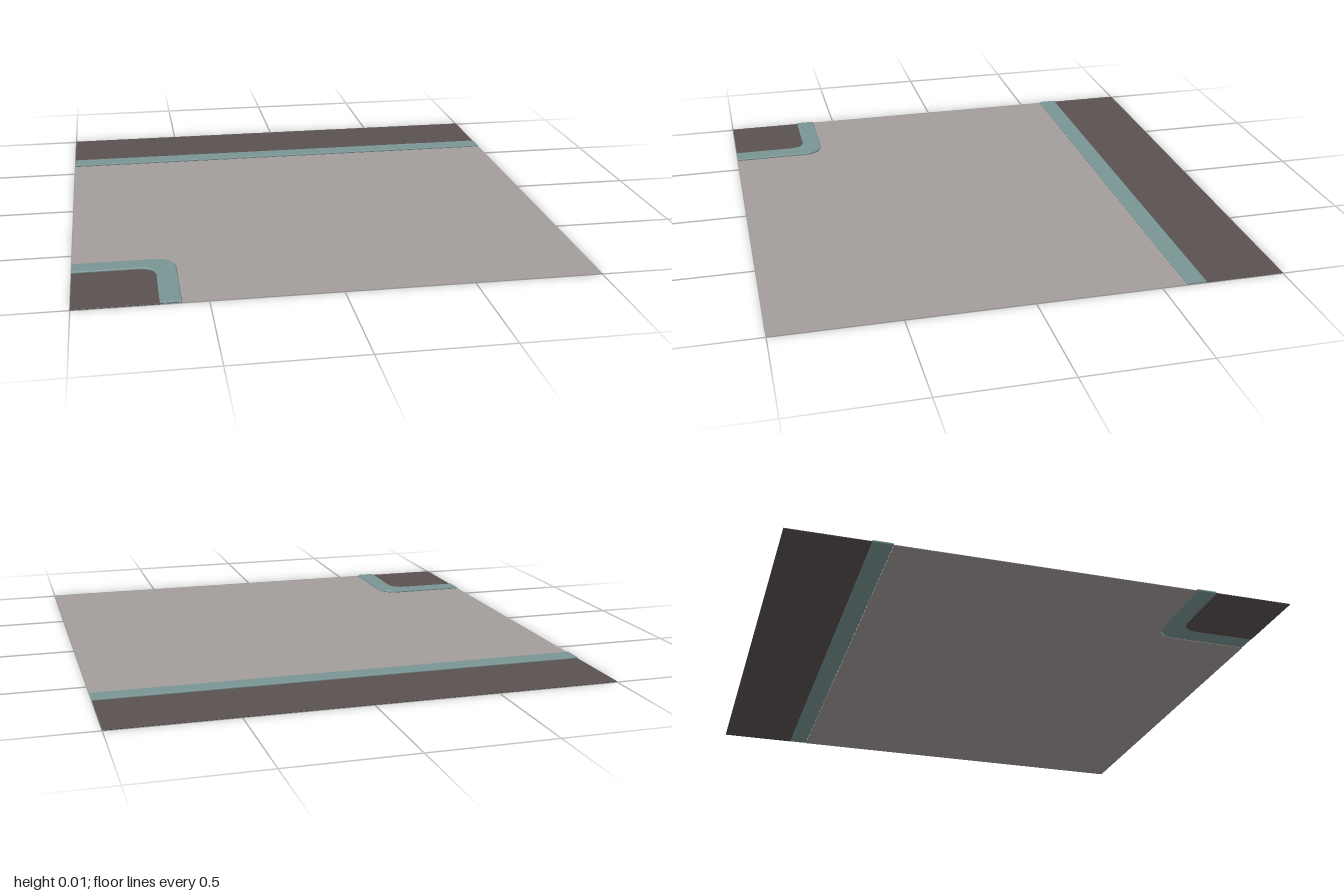
import * as THREE from 'three';

const paving = new THREE.MeshStandardMaterial({ color: 0xa39e9c });
const asphalt = new THREE.MeshStandardMaterial({ color: 0x5a5251 });
const kerb = new THREE.MeshStandardMaterial({ color: 0x7a9696 });
paving.name = 'paving grey';
asphalt.name = 'asphalt brown';
kerb.name = 'kerb teal';

// Flat slab lying on the ground, from a shape drawn as (x, -z)
function slab(name, shape, height, bevel, material) {
  const geometry = new THREE.ExtrudeGeometry(shape, {
    depth: height - 2 * bevel, curveSegments: 8, bevelEnabled: bevel > 0,
    bevelThickness: bevel, bevelSize: bevel, bevelOffset: -bevel, bevelSegments: 1,
  });
  geometry.translate(0, 0, bevel);
  geometry.rotateX(-Math.PI / 2);
  const mesh = new THREE.Mesh(geometry, material);
  mesh.name = name;
  return mesh;
}

function rect(x0, x1, z0, z1) {
  return new THREE.Shape([[x0, -z1], [x1, -z1], [x1, -z0], [x0, -z0]].map(p => new THREE.Vector2(...p)));
}

// Corner patch with one rounded corner at (e, -e)
function roundedPatch(e, r) {
  const s = new THREE.Shape();
  s.moveTo(-1, -1);
  s.lineTo(-e, -1);
  s.lineTo(-e, -e - r);
  s.absarc(-e - r, -e - r, r, 0, Math.PI / 2, false);
  s.lineTo(-1, -e);
  return s;
}

export function createModel() {
  const model = new THREE.Group();
  model.name = 'pavementSection';

  // Square paving and the row of road tiles along the back
  for (let i = 0; i < 5; i++) {
    const x = -1 + i * 0.4;
    for (let j = 0; j < 4; j++) {
      if (i === 0 && j === 3) continue;
      const z = -0.6 + j * 0.4;
      model.add(slab('pavingTile', rect(x, x + 0.4, z, z + 0.4), 0.002, 0, paving));
    }
    model.add(slab('roadTile', rect(x, x + 0.4, -1, -0.68), 0.004, 0.001, asphalt));
  }

  // Straight kerb
  model.add(slab('straightKerb', rect(-1, 1, -0.68, -0.6), 0.01, 0.003, kerb));

  // Rounded corner: road patch, kerb around it, and the paving fillet outside
  model.add(slab('cornerRoad', roundedPatch(0.68, 0.06), 0.004, 0.001, asphalt));

  const bend = new THREE.Shape();
  bend.moveTo(-0.68, -1);
  bend.lineTo(-0.6, -1);
  bend.lineTo(-0.6, -0.68);
  bend.absarc(-0.68, -0.68, 0.08, 0, Math.PI / 2, false);
  bend.lineTo(-1, -0.6);
  bend.lineTo(-1, -0.68);
  bend.lineTo(-0.74, -0.68);
  bend.absarc(-0.74, -0.74, 0.06, Math.PI / 2, 0, true);
  model.add(slab('cornerKerb', bend, 0.01, 0.003, kerb));

  const fillet = new THREE.Shape();
  fillet.moveTo(-0.6, -0.6);
  fillet.lineTo(-0.68, -0.6);
  fillet.absarc(-0.68, -0.68, 0.08, Math.PI / 2, 0, true);
  model.add(slab('cornerPaving', fillet, 0.002, 0, paving));

  return model;
}
